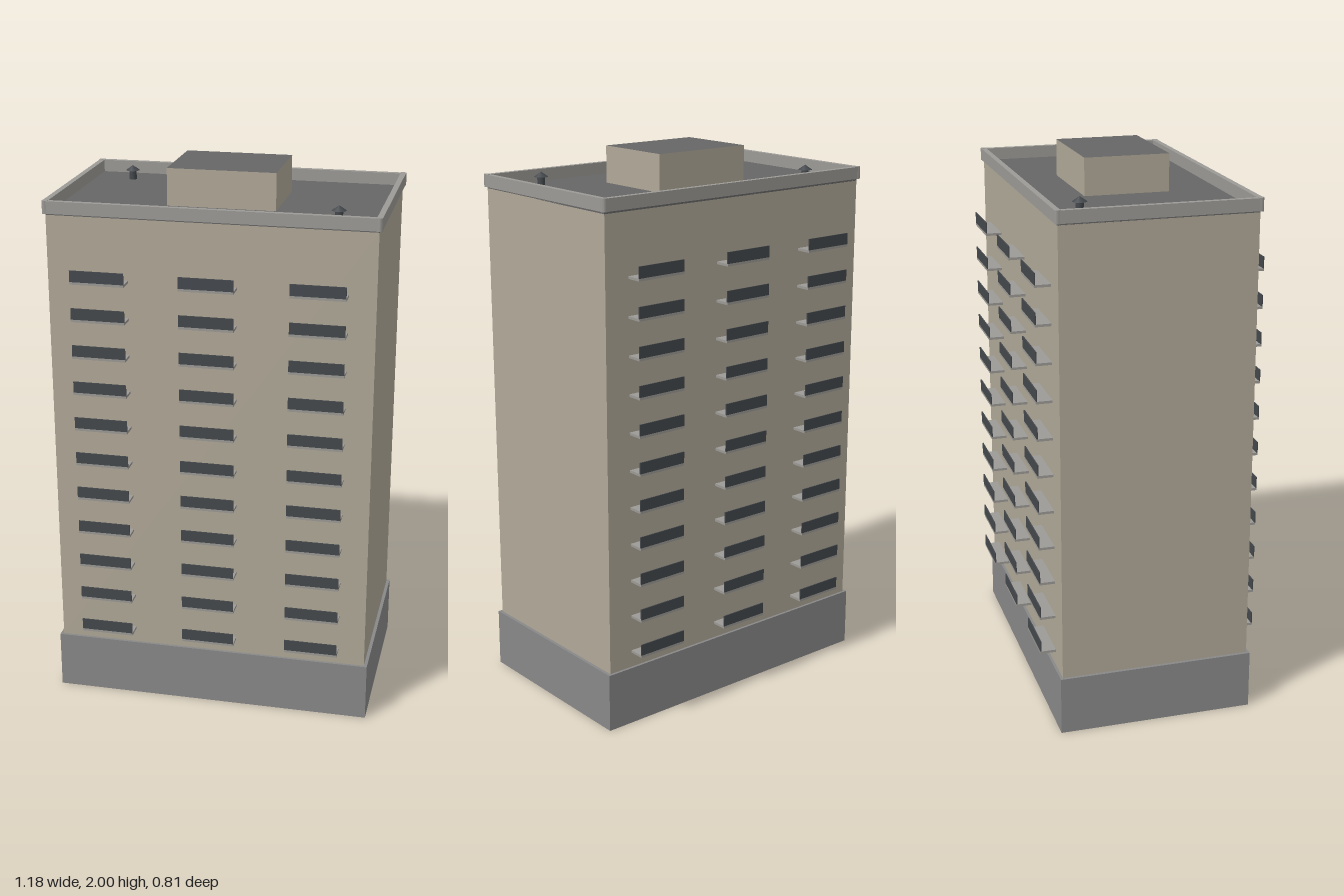
import * as THREE from 'three';

const mat = (color) => new THREE.MeshStandardMaterial({ color });

export function createModel() {
  const model = new THREE.Group();
  model.name = 'apartmentBlock';
  const wall = mat(0xb0a898), plinth = mat(0x888888), roof = mat(0x666666);
  const concrete = mat(0x9c9a96), metal = mat(0x44484c);

  const add = (parent, name, geometry, material, x, y, z) => {
    const mesh = new THREE.Mesh(geometry, material);
    mesh.name = name;
    mesh.position.set(x, y, z);
    parent.add(mesh);
    return mesh;
  };
  // Box given by its size, centre in x/z and bottom height
  const box = (parent, name, w, h, d, material, x, bottom, z) =>
    add(parent, name, new THREE.BoxGeometry(w, h, d), material, x, bottom + h / 2, z);

  const W = 0.58, D = 0.348, DECK = 1.866, PARAPET = 0.044;

  // Main masses
  box(model, 'base', 1.184, 0.216, 0.716, plinth, 0, 0, 0);
  box(model, 'tower', W * 2, 1.644, D * 2, wall, 0, 0.216, 0);
  box(model, 'roofDeck', W * 2, 0.008, D * 2, roof, 0, DECK - 0.008, 0);

  // Rooftop plant room with a dark top
  const sides = [wall, wall, roof, wall, wall, wall];
  box(model, 'plantRoom', 0.39, 2 - DECK, 0.308, sides, 0, DECK, 0);

  // Parapet walls and corner posts
  const parapet = new THREE.Group();
  parapet.name = 'parapet';
  model.add(parapet);
  for (const s of [-1, 1]) {
    box(parapet, 'parapetLong', W * 2, PARAPET, 0.02, concrete, 0, DECK, s * D);
    box(parapet, 'parapetShort', 0.02, PARAPET, D * 2, concrete, s * W, DECK, 0);
    for (const t of [-1, 1]) {
      add(parapet, 'parapetPost', new THREE.CylinderGeometry(0.012, 0.012, PARAPET + 0.002, 8),
        concrete, s * W, DECK + PARAPET / 2, t * D);
    }
  }

  // Mushroom vents on opposite roof corners
  for (const s of [-1, 1]) {
    const vent = new THREE.Group();
    vent.name = 'roofVent';
    vent.position.set(s * 0.427, DECK, s * 0.233);
    add(vent, 'ventPipe', new THREE.CylinderGeometry(0.014, 0.014, 0.034, 12), metal, 0, 0.017, 0);
    add(vent, 'ventCap', new THREE.ConeGeometry(0.026, 0.018, 12), metal, 0, 0.043, 0);
    model.add(vent);
  }

  // Balconies: three columns, eleven floors, front and back
  const reach = 0.058;
  for (const side of [1, -1]) {
    const facade = new THREE.Group();
    facade.name = side > 0 ? 'frontBalconies' : 'backBalconies';
    for (let floor = 0; floor < 11; floor++) {
      const y = 0.271 + floor * 0.1361;
      for (const x of [-0.387, 0, 0.387]) {
        box(facade, 'balconySlab', 0.194, 0.009, reach, concrete, x, y, side * (D + reach / 2));
        box(facade, 'balconyRail', 0.194, 0.041, 0.004, metal, x, y + 0.009, side * (D + reach - 0.002));
      }
    }
    model.add(facade);
  }
  return model;
}
